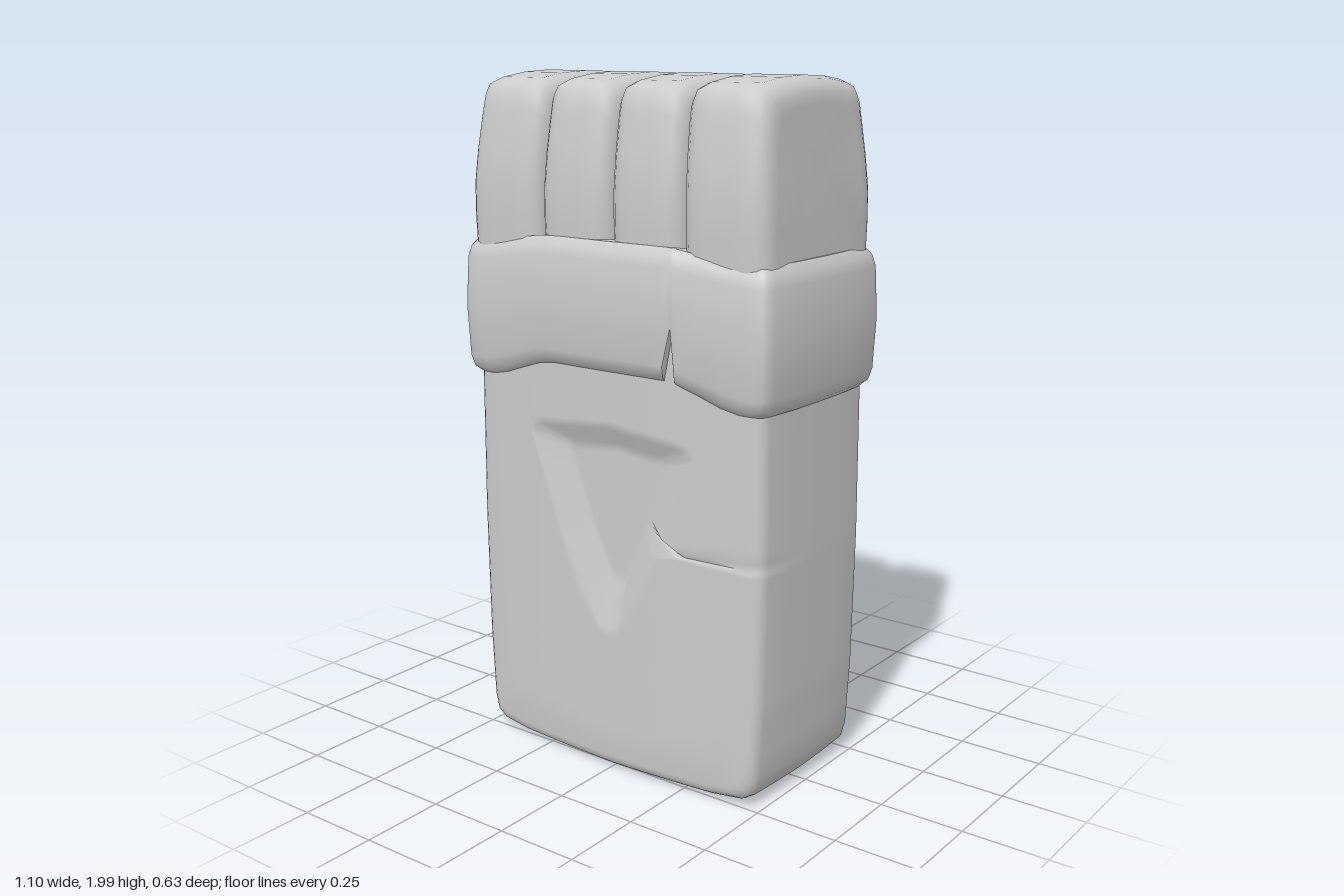
import * as THREE from 'three';
import { toCreasedNormals } from 'three/addons/utils/BufferGeometryUtils.js';

const material = new THREE.MeshStandardMaterial({ color: 0xcccccc });
const smooth = THREE.MathUtils.smoothstep;

// Skin a list of closed rings (counterclockwise seen from the far end) and cap both ends
function loft(rings, crease) {
  const n = rings[0].length, pos = rings.flat(2), idx = [];
  rings.slice(1).forEach((_, r) => {
    for (let i = 0; i < n; i++) {
      const a = r * n + i, b = r * n + (i + 1) % n;
      idx.push(a, b, b + n, a, b + n, a + n);
    }
  });
  [0, rings.length - 1].forEach((r, end) => {
    const c = pos.length / 3;
    for (let k = 0; k < 3; k++) pos.push(rings[r].reduce((s, p) => s + p[k], 0) / n);
    for (let i = 0; i < n; i++) {
      const a = r * n + i, b = r * n + (i + 1) % n;
      idx.push(...(end ? [a, b, c] : [b, a, c]));
    }
  });
  const g = new THREE.BufferGeometry();
  g.setAttribute('position', new THREE.Float32BufferAttribute(pos, 3));
  g.setIndex(idx);
  return toCreasedNormals(g, crease);
}

function part(name, geometry) {
  const mesh = new THREE.Mesh(geometry, material);
  mesh.name = name;
  return mesh;
}

// Complete a half outline (bottom centre to top centre, x >= 0)
const mirror = (half) => [...half, ...half.filter((p) => p[0] > 0).reverse().map(([x, y]) => [-x, y])];

// ---- Body: rings sampled by angle around one centre point
const CY = 0.71;
const outline = mirror([[0, 0.006], [0.35, 0.012], [0.45, 0.022], [0.482, 0.042], [0.495, 0.09],
  [0.507, 0.3], [0.514, 0.7], [0.51, 1.2], [0.5, 1.38], [0, 1.4]]);
const recessRim = mirror([[0, 0.445], [0.035, 0.455], [0.16, 0.69], [0.255, 0.92], [0.28, 0.985], [0.255, 1.01], [0, 1.037]]);
// Front rim has a chip at its right edge
const chippedRim = recessRim.slice();
chippedRim.splice(3, 0, [0.265, 0.71], [0.19, 0.75]);

const angles = [...outline, ...chippedRim].map(([x, y]) => Math.atan2(y - CY, x));
for (let i = 0; i < 72; i++) angles.push(-Math.PI + (i + 0.5) * Math.PI / 36);
angles.sort((a, b) => a - b);
const BODY_ANGLES = angles.filter((a, i) => i === 0 || a - angles[i - 1] > 1e-4);

// Point where a ray from the centre leaves a polygon
function sample(poly, angle) {
  const dx = Math.cos(angle), dy = Math.sin(angle);
  let best = 0;
  poly.forEach(([ax, ay], i) => {
    const [bx, by] = poly[(i + 1) % poly.length];
    const ex = bx - ax, ey = by - ay, det = dx * ey - dy * ex;
    if (Math.abs(det) < 1e-9) return;
    const t = (ax * ey - (ay - CY) * ex) / det;
    const u = (ax * dy - (ay - CY) * dx) / det;
    if (t > 0 && u > -1e-5 && u < 1 + 1e-5) best = Math.max(best, t);
  });
  return [dx * best, CY + dy * best];
}

const faceZ = (x) => 0.285 - 0.1 * x * x;

// Rings of one half, from the middle of the side wall to the recess floor
function halfBody(rim, groove) {
  const rings = [], R = 0.035;
  const add = (fn) => rings.push(BODY_ANGLES.map(fn));
  const edge = (a, inset) => {
    const [x, y] = sample(outline, a);
    return [x * (1 - inset / 0.51), CY + (y - CY) * (1 - inset / 0.7)];
  };
  const dent = (a) => (groove && Math.abs(a) < 0.01 ? 0.005 : 0);
  add((a) => [...edge(a, 0), 0]);
  add((a) => [...edge(a, 0.002), 0.12]);
  for (let k = 0; k <= 4; k++) {
    const t = k * Math.PI / 8;
    add((a) => {
      const [x, y] = edge(a, 0.005 + R * (1 - Math.cos(t)) + dent(a) * Math.cos(t));
      return [x, y, faceZ(x) - R * (1 - Math.sin(t)) - dent(a) * Math.sin(t)];
    });
  }
  for (const s of [0.25, 0.5, 0.75, 0.93, 1]) {
    add((a) => {
      const p = edge(a, R), q = sample(rim, a);
      const x = p[0] + (q[0] - p[0]) * s, y = p[1] + (q[1] - p[1]) * s;
      return [x, y, faceZ(x) - dent(a)];
    });
  }
  // Floor is a smaller copy of the rim, with a flat inner ring
  for (const shrink of [1, 0.85]) {
    add((a) => {
      const [x, y] = sample(recessRim, a);
      return [x * 0.64 * shrink, 0.8 + (0.565 + (y - 0.445) * 0.71 - 0.8) * shrink, 0.233];
    });
  }
  return rings;
}

function bodyGeometry() {
  const back = halfBody(recessRim, false).slice(1).reverse()
    .map((ring) => ring.map(([x, y, z]) => [x, y, -z]));
  return loft([...back, ...halfBody(chippedRim, true)], 0.8);
}

// ---- Band: profile swept up a rounded rectangle, with wavy upper and lower edges
function bandGeometry() {
  const front = [-0.5, -0.46, -0.4, -0.33, -0.26, -0.2, -0.1, 0, 0.1, 0.17, 0.212, 0.238, 0.25, 0.33, 0.4, 0.46, 0.5]
    .map((x) => [x, 0.315 - 0.09 * x * x]);
  const side = [[0.52, 0.286], [0.53, 0.275], [0.536, 0.25], [0.545, 0.13], [0.548, 0], [0.545, -0.13], [0.536, -0.25], [0.53, -0.275], [0.52, -0.286]];
  const half = [...front, ...side];
  const loop = [...half, ...half.map(([x, z]) => [-x, -z])];
  const rise = (x, z) => (Math.abs(z) < 0.27 ? 0 : 1 - smooth(Math.abs(x), 0.2, 0.48));
  const bottom = (x, z) => 1.135 + 0.065 * rise(x, z) + (z > 0 && x === 0.238 ? 0.125 : 0);
  const top = (x, z) => 1.53 + 0.03 * rise(x, z);
  // [inset, height between bottom and top edge]
  const profile = [[0.08, 0], [0.03, 0], [0.014, 0.04], [0.006, 0.12], [0, 0.5], [0.006, 0.86], [0.014, 0.94], [0.032, 1], [0.08, 1]];
  return loft(profile.map(([d, t]) => loop.map(([x, z]) => [
    x * (1 - d / 0.54), bottom(x, z) + (top(x, z) - bottom(x, z)) * t, z * (1 - d / 0.31)])), 0.7);
}

// ---- Blocks on top: domed side profile carried along x with bevelled ends
function blockGeometry(x0, x1) {
  const half = [[0.272, 1.42], [0.282, 1.6], [0.282, 1.7], [0.272, 1.8], [0.256, 1.9],
    [0.246, 1.945], [0.228, 1.972], [0.19, 1.984], [0.1, 1.996]];
  const profile = [[0, 2], ...half.slice().reverse(), ...half.map(([z, y]) => [-z, y])];
  // [distance from the end, inset of the profile]
  const ends = [[0, 0.07], [0.002, 0.042], [0.012, 0.024], [0.03, 0.008], [0.055, 0], [0.1, 0]];
  const stations = [...ends.map(([o, d]) => [x0 + o, d]), ...ends.map(([o, d]) => [x1 - o, d]).reverse()];
  return loft(stations.map(([x, d]) => profile.map(([z, y]) => [
    x * (1 - 0.035 * smooth(y, 1.65, 2)), y - d * smooth(y, 1.45, 1.95), z * (1 - d / 0.28)
  ])), 0.9);
}

export function createModel() {
  const group = new THREE.Group();
  group.name = 'blockFist';
  group.add(part('body', bodyGeometry()), part('band', bandGeometry()));
  const splits = [-0.512, -0.248, 0, 0.242, 0.512];
  for (let i = 0; i < 4; i++) group.add(part('topBlock' + (i + 1), blockGeometry(splits[i], splits[i + 1])));
  return group;
}
